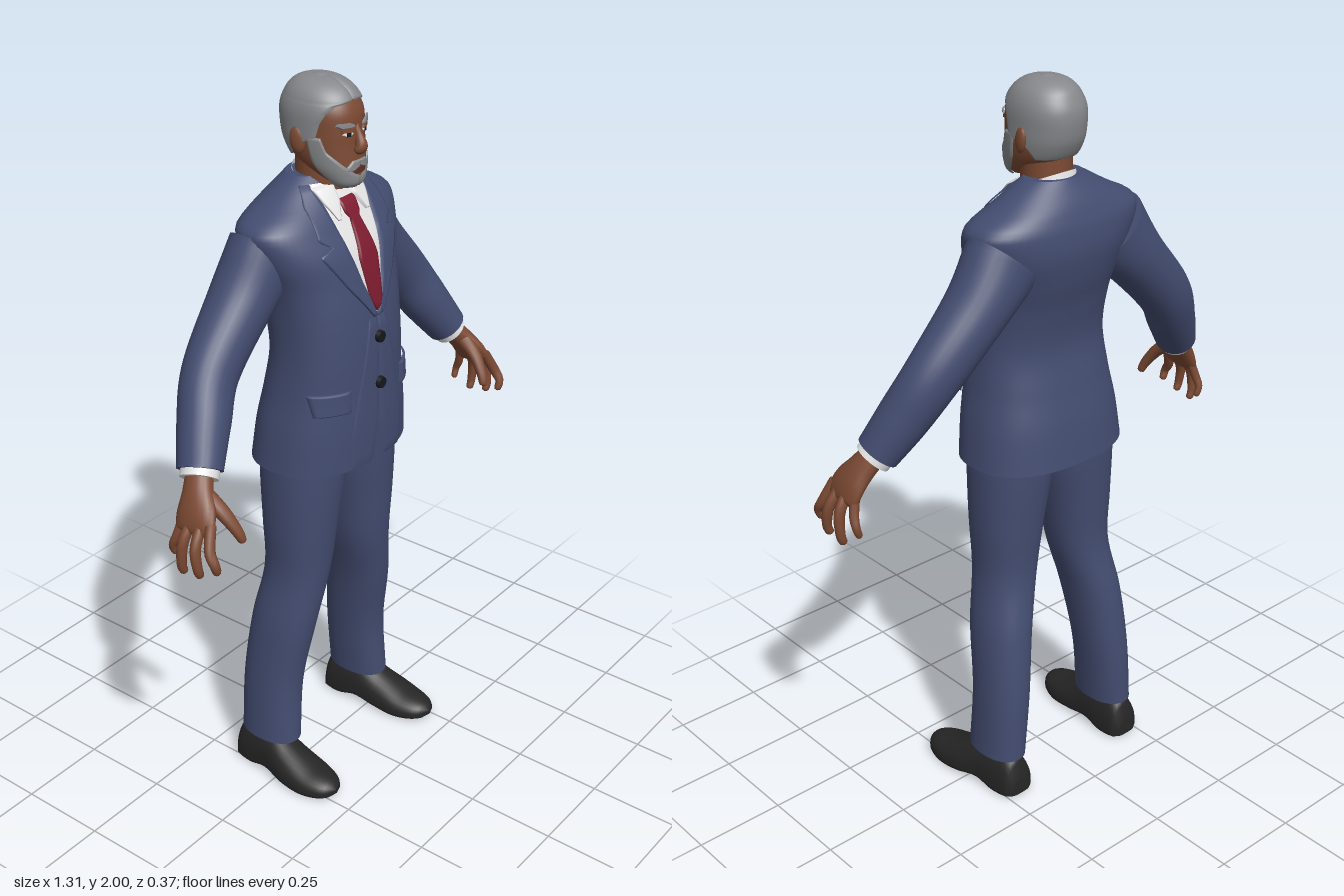
import * as THREE from 'three';

const paint = (name, color, side = THREE.FrontSide) => {
  const m = new THREE.MeshStandardMaterial({ color, side });
  m.name = name;
  return m;
};

// Smooth interpolation of rows [key, ...values] at a key
function sample(rows, k) {
  const last = rows.length - 1;
  k = Math.min(Math.max(k, rows[0][0]), rows[last][0]);
  let i = 0;
  while (i < last - 1 && k > rows[i + 1][0]) i++;
  const a = rows[i], b = rows[i + 1], h = b[0] - a[0], t = (k - a[0]) / h;
  const slope = (j, c) => {
    const p = rows[Math.max(j - 1, 0)], q = rows[Math.min(j + 1, last)];
    return (q[c] - p[c]) / (q[0] - p[0]);
  };
  return a.map((_, c) => {
    if (c === 0) return k;
    const t2 = t * t, t3 = t2 * t;
    return (2 * t3 - 3 * t2 + 1) * a[c] + (t3 - 2 * t2 + t) * h * slope(i, c)
      + (3 * t2 - 2 * t3) * b[c] + (t3 - t2) * h * slope(i + 1, c);
  });
}

// Straight-line interpolation, used for crisp plate outlines
function linear(rows, k) {
  let i = 0;
  while (i < rows.length - 2 && k > rows[i + 1][0]) i++;
  const t = (k - rows[i][0]) / (rows[i + 1][0] - rows[i][0]);
  return rows[i].map((v, c) => v + (rows[i + 1][c] - v) * t);
}

// Surface from fn(u, v) -> [x, y, z]; closed tubes may get flat caps
function grid(nu, nv, fn, closed, caps) {
  const rings = [], cols = closed ? nu : nu + 1;
  for (let j = 0; j <= nv; j++) {
    const ring = [];
    for (let i = 0; i < cols; i++) ring.push(fn(i / nu, j / nv));
    rings.push(ring);
  }
  if (caps) {
    const flat = (r) => r.map(() => [0, 1, 2].map((c) => r.reduce((s, p) => s + p[c], 0) / cols));
    const first = rings[0], end = rings[nv];
    rings.unshift(flat(first), first);
    rings.push(end, flat(end));
  }
  const index = [];
  for (let j = 0; j < rings.length - 1; j++) for (let i = 0; i < nu; i++) {
    const n = (i + 1) % cols, a = j * cols + i, b = j * cols + n;
    index.push(a, b, b + cols, a, b + cols, a + cols);
  }
  const g = new THREE.BufferGeometry();
  g.setAttribute('position', new THREE.Float32BufferAttribute(rings.flat(2), 3));
  g.setIndex(index);
  g.computeVertexNormals();
  return g;
}

// Upright body from rows [y, centreX, halfWidth, frontZ, backZ, power]; angle 0 faces front
function body(rows, centreY) {
  const point = (y, a, off = 0) => {
    const [, cx, rx, zf, zb, n] = sample(rows, y), zm = (zf + zb) / 2;
    const pw = (v) => Math.sign(v) * Math.abs(v) ** (2 / n);
    const p = new THREE.Vector3(cx + Math.max(rx, 0) * pw(Math.sin(a)), y, zm + (zf - zm) * pw(Math.cos(a)));
    const d = p.clone().sub(new THREE.Vector3(cx, centreY ?? y, zm)).normalize();
    return p.addScaledVector(d, off).toArray();
  };
  const angle = (y, x) => {
    const [, cx, rx, , , n] = sample(rows, y);
    return Math.sign(x - cx) * Math.asin(Math.min(1, Math.abs((x - cx) / rx)) ** (n / 2));
  };
  const y0 = rows[0][0], y1 = rows[rows.length - 1][0];
  return { point, angle, solid: (nu, nv) => grid(nu, nv, (u, v) => point(y0 + (y1 - y0) * v, u * 2 * Math.PI), true, true) };
}

// Thin plate hugging a body, from rows [y, from, to] in degrees or in x; s = -1 mirrors it
function plate(surf, rows, off, { s = 1, byX = true, nu = 12, nv = 24 } = {}) {
  const y0 = rows[0][0], y1 = rows[rows.length - 1][0];
  return grid(nu, nv, (u, v) => {
    const y = y0 + (y1 - y0) * v;
    let [, a, b] = linear(rows, y);
    if (s < 0) [a, b] = [-b, -a];
    const conv = (q) => (byX ? surf.angle(y, q) : q * Math.PI / 180);
    const edge = u === 0 || u === 1 || v === 0 || v === 1;
    const w = Math.min(Math.max((u * nu - 0.15) / (nu - 0.3), 0), 1);
    return surf.point(y, conv(a) + (conv(b) - conv(a)) * w, edge ? off * 0.3 : off);
  });
}

// Limb swept through points [x, y, z, radius across, radius toward z]
function limb(points, nu = 20, nv = 24) {
  const rows = points.map((p, i) => [i / (points.length - 1), ...p]);
  const at = (t) => new THREE.Vector3(...sample(rows, t).slice(1, 4));
  return grid(nu, nv, (u, v) => {
    const [, , , , r1, r2] = sample(rows, v), a = u * 2 * Math.PI;
    const t = at(Math.min(v + 0.01, 1)).sub(at(Math.max(v - 0.01, 0))).normalize();
    const n = new THREE.Vector3(0, 0, 1).addScaledVector(t, -t.z).normalize();
    const b = n.clone().cross(t);
    return at(v).addScaledVector(b, r1 * Math.cos(a)).addScaledVector(n, r2 * Math.sin(a)).toArray();
  }, true, true);
}

export function createModel() {
  const model = new THREE.Group();
  const suit = paint('navy suit', 0x444d71), skin = paint('brown skin', 0x7c4a33);
  const hair = paint('grey hair', 0x86888b), white = paint('white shirt', 0xe4e4e4, THREE.DoubleSide);
  const red = paint('red tie', 0x7c1b2f), shoe = paint('black leather', 0x262626);
  const dark = paint('dark button', 0x17181d), lip = paint('lip', 0x5c3127);
  const add = (name, geo, mat, pos) => {
    const m = new THREE.Mesh(geo, mat);
    m.name = name;
    if (pos) m.position.set(...pos);
    model.add(m);
    return m;
  };

  // Jacket
  const torso = body([
    [0.99, 0, 0.235, 0.15, -0.178, 2.4], [1.1, 0, 0.222, 0.152, -0.165, 2.4],
    [1.2, 0, 0.205, 0.15, -0.145, 2.4], [1.31, 0, 0.195, 0.148, -0.128, 2.4],
    [1.42, 0, 0.198, 0.138, -0.145, 2.4], [1.5, 0, 0.212, 0.122, -0.168, 2.4],
    [1.58, 0, 0.245, 0.1, -0.183, 2.4], [1.645, 0, 0.262, 0.066, -0.178, 2.4],
    [1.67, 0, 0.24, 0.052, -0.17, 2.3], [1.7, 0, 0.18, 0.035, -0.158, 2.2], [1.755, 0, 0.085, 0, -0.122, 2]]);
  add('jacket', torso.solid(56, 60), suit);

  // Shirt front, collar and tie
  add('shirtFront', plate(torso, [[1.41, -0.004, 0.004], [1.5, -0.04, 0.04], [1.6, -0.066, 0.066],
    [1.66, -0.08, 0.08], [1.74, -0.08, 0.08]], 0.004, { nu: 20 }), white);
  add('shirtCollar', grid(36, 3, (u, v) => {
    const a = u * 2 * Math.PI, r = 0.08 - 0.008 * v;
    return [r * Math.sin(a), 1.705 + 0.033 * v - 0.033 * Math.cos(a), -0.038 + r * Math.cos(a)];
  }, true), white);
  add('tie', plate(torso, [[1.415, -0.004, 0.004], [1.45, -0.022, 0.022], [1.56, -0.035, 0.035],
    [1.655, -0.016, 0.016], [1.665, -0.026, 0.026], [1.7, -0.03, 0.03]], 0.011), red);

  for (const s of [1, -1]) {
    const side = s > 0 ? 'left' : 'right';
    add(side + 'CollarWing', plate(torso, [[1.655, 0.05, 0.056], [1.7, 0.024, 0.078], [1.735, 0.02, 0.085]], 0.014, { s }), white);
    add(side + 'Lapel', plate(torso, [[1.4, 0, 0.012], [1.5, 0.035, 0.09], [1.59, 0.06, 0.15],
      [1.605, 0.062, 0.108], [1.625, 0.066, 0.14], [1.7, 0.078, 0.13], [1.74, 0.082, 0.1]], 0.009, { s, nv: 48 }), suit);
    add(side + 'FrontPanel', plate(torso, [[0.99, 0.024, 0.1], [1.1, 0.002, 0.1], [1.4, 0.002, 0.03]], s > 0 ? 0.007 : 0.004, { s }), suit);
    add(side + 'PocketFlap', plate(torso, [[1.165, 0.1, 0.188], [1.225, 0.102, 0.192]], 0.011, { s }), suit);

    // Sleeve and cuff
    const path = (pts) => pts.map(([x, ...r]) => [x * s, ...r]);
    add(side + 'Sleeve', limb(path([[0.18, 1.575, -0.075, 0.112, 0.09], [0.27, 1.475, -0.08, 0.086, 0.084],
      [0.4, 1.335, -0.07, 0.077, 0.071], [0.47, 1.23, -0.036, 0.069, 0.067], [0.53, 1.137, 0, 0.056, 0.06]]), 28, 36), suit);
    add(side + 'ShirtCuff', limb(path([[0.52, 1.15, -0.005, 0.048, 0.05], [0.542, 1.121, 0.007, 0.048, 0.05]]), 24, 2), white);

    // Hand with four curled fingers and a thumb
    add(side + 'Palm', limb(path([[0.53, 1.14, 0, 0.03, 0.036], [0.562, 1.1, 0.02, 0.03, 0.042],
      [0.59, 1.06, 0.038, 0.026, 0.056], [0.608, 1.025, 0.048, 0.019, 0.058], [0.612, 1.012, 0.05, 0.009, 0.045]]), 20, 16), skin);
    const fingers = [[0.092, 0.128, 0.93, 0.622], [0.064, 0.08, 0.908, 0.632], [0.034, 0.026, 0.9, 0.63], [0.006, -0.018, 0.93, 0.612]];
    fingers.forEach(([z0, z1, y, x], i) => {
      const k = i === 3 ? 0.85 : 1, zm = (z0 + z1) / 2;
      add(side + 'Finger' + (i + 1), limb(path([[0.6, 1.045, z0, 0.015 * k, 0.015 * k], [x + 0.004, 0.99, zm, 0.015 * k, 0.014 * k],
        [x + 0.008, y + 0.03, z1, 0.013 * k, 0.012 * k], [x, y + 0.006, z1, 0.011 * k, 0.01 * k], [x - 0.002, y, z1, 0.004, 0.004]]), 10, 14), skin);
    });
    add(side + 'Thumb', limb(path([[0.56, 1.1, 0.035, 0.022, 0.024], [0.552, 1.06, 0.088, 0.02, 0.018],
      [0.54, 1.015, 0.122, 0.015, 0.014], [0.533, 0.988, 0.134, 0.011, 0.011], [0.531, 0.982, 0.136, 0.004, 0.004]]), 12, 14), skin);

    // Trouser leg
    const leg = [[0.11, 0.125, 0.11, 0.03, -0.155], [0.3, 0.19, 0.066, 0.027, -0.153], [0.49, 0.168, 0.073, 0.056, -0.135],
      [0.65, 0.135, 0.081, 0.075, -0.11], [0.8, 0.124, 0.096, 0.088, -0.117], [0.94, 0.112, 0.109, 0.098, -0.128], [1.06, 0.108, 0.11, 0.1, -0.13]];
    leg[0] = [0.11, 0.206, 0.06, 0.03, -0.155];
    add(side + 'TrouserLeg', body(leg.map(([y, cx, ...r]) => [y, cx * s, ...r, 2.2])).solid(32, 40), suit);

    // Shoe from cross-sections [z, centreX, halfWidth, top, bottom]
    const shoeRows = [[-0.165, 0.208, 0.03, 0.05, 0], [-0.155, 0.208, 0.046, 0.1, 0], [-0.1, 0.21, 0.055, 0.13, 0],
      [-0.04, 0.214, 0.058, 0.125, 0.015], [0.03, 0.222, 0.066, 0.092, 0.006], [0.1, 0.225, 0.066, 0.064, 0],
      [0.155, 0.227, 0.05, 0.05, 0.002], [0.182, 0.228, 0.027, 0.038, 0.006], [0.19, 0.228, 0.006, 0.026, 0.012]];
    add(side + 'Shoe', grid(28, 36, (u, v) => {
      const [z, cx, w, top, low] = sample(shoeRows, -0.165 + 0.355 * v), a = u * 2 * Math.PI;
      const up = Math.sin(a), rim = low + 0.012;
      return [s * cx + w * Math.cos(a), up > 0 ? rim + (top - rim) * up ** 0.85 : rim + (low - rim) * (-up) ** 0.3, z];
    }, true, true), shoe);
    add(side + 'ShoeHeel', new THREE.CylinderGeometry(0.046, 0.048, 0.028, 24), shoe, [0.21 * s, 0.014, -0.113]);
  }

  // Jacket buttons
  for (const y of [1.345, 1.215]) {
    const b = add('button', new THREE.CylinderGeometry(0.015, 0.017, 0.012, 16), dark, [0, y, torso.point(y, 0)[2] + 0.009]);
    b.rotation.x = Math.PI / 2;
  }

  // Neck and head
  add('neck', limb([[0, 1.66, -0.04, 0.066, 0.066], [0, 1.74, -0.036, 0.066, 0.067], [0, 1.83, -0.035, 0.066, 0.066]]), skin);
  const head = body([
    [1.736, 0, 0.03, 0.074, 0.02, 2], [1.75, 0, 0.05, 0.084, -0.01, 2.1], [1.775, 0, 0.068, 0.084, -0.06, 2.2],
    [1.8, 0, 0.079, 0.082, -0.1, 2.2], [1.84, 0, 0.085, 0.079, -0.126, 2.2], [1.88, 0, 0.086, 0.078, -0.136, 2.2],
    [1.92, 0, 0.085, 0.074, -0.137, 2.2], [1.95, 0, 0.077, 0.06, -0.127, 2.1], [1.972, 0, 0.062, 0.04, -0.112, 2],
    [1.987, 0, 0.038, 0.008, -0.084, 2], [1.994, 0, 0.004, -0.034, -0.042, 2]], 1.86);
  add('head', head.solid(48, 64), skin);
  add('hair', plate(head, [[1.805, 125, 235], [1.835, 105, 255], [1.86, 72, 288], [1.9, 64, 296], [1.922, 55, 305],
    [1.94, 38, 322], [1.948, 0, 360], [1.994, 0, 360]], 0.006, { byX: false, nu: 48, nv: 60 }), hair);
  add('crown', new THREE.SphereGeometry(0.02, 20, 10).scale(1, 0.25, 1), hair, [0, 1.9945, -0.038]);
  add('lips', plate(head, [[1.774, -0.016, 0.016], [1.782, -0.026, 0.026], [1.79, -0.016, 0.016]], 0.005), lip);
  add('nose', limb([[0, 1.89, 0.07, 0.008, 0.008], [0, 1.865, 0.079, 0.01, 0.012],
    [0, 1.842, 0.088, 0.016, 0.016], [0, 1.828, 0.084, 0.019, 0.013], [0, 1.82, 0.078, 0.008, 0.006]], 16, 16), skin);

  for (const s of [1, -1]) {
    const side = s > 0 ? 'left' : 'right';
    add(side + 'Beard', plate(head, [[1.736, 0, 88], [1.766, 0, 88], [1.773, 14, 88], [1.8, 36, 86],
      [1.83, 57, 84], [1.865, 64, 84]], 0.006, { s, byX: false, nv: 36 }), hair);
    add(side + 'Moustache', plate(head, [[1.785, 0.022, 0.042], [1.793, 0, 0.038], [1.806, 0, 0.024]], 0.007, { s }), hair);
    add(side + 'Eyebrow', plate(head, [[1.888, 0.014, 0.05], [1.894, 0.014, 0.06], [1.901, 0.03, 0.056]], 0.008, { s }), hair);
    add(side + 'Eye', plate(head, [[1.868, 0.024, 0.038], [1.873, 0.017, 0.047], [1.879, 0.024, 0.04]], 0.003, { s }), white);
    add(side + 'Iris', plate(head, [[1.867, 0.026, 0.037], [1.88, 0.026, 0.037]], 0.005, { s }), dark);
    add(side + 'UpperLid', plate(head, [[1.877, 0.014, 0.05], [1.886, 0.018, 0.05]], 0.006, { s }), skin);
    const ear = add(side + 'Ear', new THREE.SphereGeometry(1, 16, 12).scale(0.011, 0.034, 0.021), skin, [0.089 * s, 1.852, -0.04]);
    ear.rotation.set(-0.15, -0.25 * s, 0);
  }
  return model;
}
